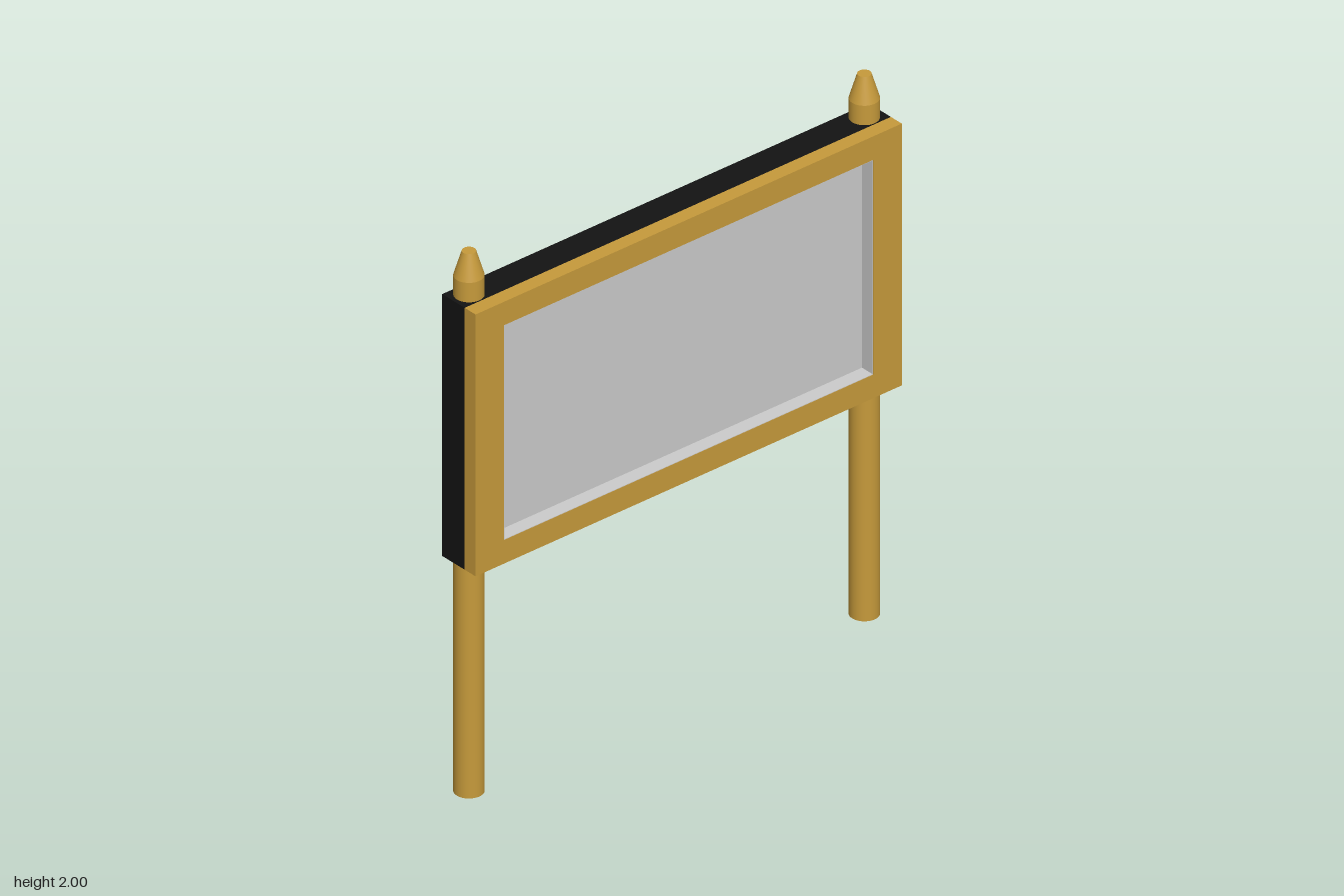
import * as THREE from 'three';

const wood = new THREE.MeshStandardMaterial({ color: 0xc69a3b });
const black = new THREE.MeshStandardMaterial({ color: 0x131313 });
const grey = new THREE.MeshStandardMaterial({ color: 0xcccccc });

const MID_Y = 1.353; // height of the board's centre
const OUTER = [0.885, 0.485]; // half width, half height of the board
const INNER = [0.767, 0.398]; // half width, half height of the opening
const BACK = -0.081, SEAM = 0.028, FRONT = 0.081;

function rectangle(PathType, [w, h]) {
  return new PathType([
    new THREE.Vector2(-w, -h), new THREE.Vector2(w, -h),
    new THREE.Vector2(w, h), new THREE.Vector2(-w, h),
  ]);
}

// Rectangular ring extruded from z0 to z1
function frame(name, outer, inner, z0, z1, material) {
  const shape = rectangle(THREE.Shape, outer);
  shape.holes.push(rectangle(THREE.Path, inner));
  const geometry = new THREE.ExtrudeGeometry(shape, { depth: z1 - z0, bevelEnabled: false });
  const mesh = new THREE.Mesh(geometry, material);
  mesh.name = name;
  mesh.position.set(0, MID_Y, z0);
  return mesh;
}

// Round section of a post, between two heights
function postSection(name, rTop, rBottom, y0, y1, openEnded = false) {
  const geometry = new THREE.CylinderGeometry(rTop, rBottom, y1 - y0, 32, 1, openEnded);
  const mesh = new THREE.Mesh(geometry, wood);
  mesh.name = name;
  mesh.position.y = (y0 + y1) / 2;
  return mesh;
}

export function createModel() {
  const model = new THREE.Group();
  model.name = 'signBoard';

  // Board: wooden front frame, black rear frame
  model.add(frame('frontFrame', OUTER, INNER, SEAM, FRONT, wood));
  model.add(frame('rearFrame', OUTER, INNER, BACK, SEAM, black));

  // Grey lining of the front opening
  const lip = INNER.map((v) => v - 0.002);
  model.add(frame('openingLining', INNER, lip, SEAM, FRONT - 0.001, grey));

  // Panel, recessed in front and flush at the back
  const panel = new THREE.Mesh(
    new THREE.BoxGeometry(2 * INNER[0], 2 * INNER[1], SEAM - BACK), grey);
  panel.name = 'panel';
  panel.position.set(0, MID_Y, (SEAM + BACK) / 2);
  model.add(panel);

  // Posts with tapered tips
  for (const side of [-1, 1]) {
    const post = new THREE.Group();
    post.name = side > 0 ? 'leftPost' : 'rightPost';
    post.add(postSection('shaft', 0.05, 0.05, 0, 1.91));
    post.add(postSection('tip', 0.023, 0.05, 1.91, 2));
    post.position.set(side * 0.821, 0, -0.026);
    model.add(post);
  }
  return model;
}
